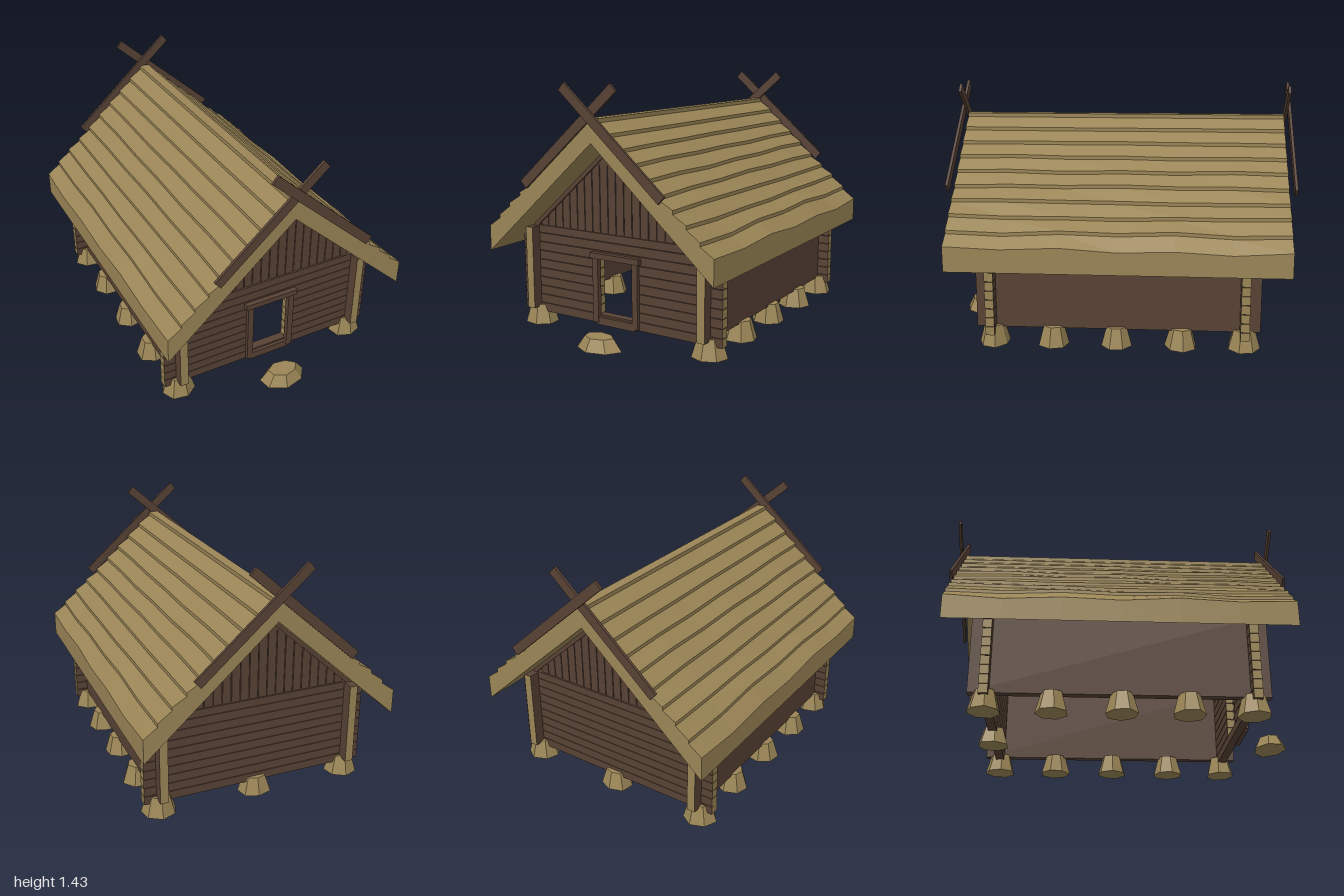
import * as THREE from 'three';

const brown = new THREE.MeshStandardMaterial({ color: 0x584235, flatShading: true });
brown.name = 'dark timber';
const tan = new THREE.MeshStandardMaterial({ color: 0x9a8556, flatShading: true });
tan.name = 'pale straw, stone and cut wood';
const endsX = [tan, tan, brown, brown, brown, brown];
const endsZ = [brown, brown, brown, brown, tan, tan];

const SLOPE = 0.898, APEX = 1.12, EAVE_X = 0.735;
const under = x => APEX - SLOPE * Math.abs(x); // underside of the roof

// Box given by its limits
function box(parent, name, mat, x0, x1, y0, y1, z0, z1) {
  const m = new THREE.Mesh(new THREE.BoxGeometry(x1 - x0, y1 - y0, z1 - z0), mat);
  m.position.set((x0 + x1) / 2, (y0 + y1) / 2, (z0 + z1) / 2);
  m.name = name;
  parent.add(m);
}

// Roof cross-section at depth z, anticlockwise, with wavy thatch courses
function roofProfile(z) {
  const n = 9, x0 = EAVE_X, x1 = 0.03, right = [];
  for (let k = 0; k <= n; k++) {
    const x = x0 + (x1 - x0) * k / n;
    const y = 0.595 + 0.64 * k / n;
    const wave = (1 - k / n) * (0.008 * Math.cos(z * 9.92 + k * 0.6 + Math.PI) + 0.006 * Math.sin(z * 3 + k * 2));
    if (k > 0) right.push([x, y - 0.01 + wave]);
    right.push([x, y + (k > 0 ? 0.01 : 0) + wave]);
  }
  const left = right.map(([x, y]) => [-x, y]).reverse();
  return [[0, APEX], [EAVE_X, 0.46], ...right, ...left, [-EAVE_X, 0.46]];
}

function roofGeometry(zBack, zFront) {
  const pos = [], steps = 6;
  const loops = [];
  for (let i = 0; i <= steps; i++) {
    const z = zBack + (zFront - zBack) * i / steps;
    loops.push(roofProfile(z).map(([x, y]) => [x, y, z]));
  }
  const tri = (a, b, c) => pos.push(...a, ...b, ...c);
  for (let i = 0; i < steps; i++) {
    const A = loops[i], B = loops[i + 1];
    for (let j = 0; j < A.length; j++) {
      const k = (j + 1) % A.length;
      tri(A[j], A[k], B[k]);
      tri(A[j], B[k], B[j]);
    }
  }
  const cap = (L, flip) => {
    const pts = L.map(p => new THREE.Vector2(p[0], p[1]));
    for (const [a, b, c] of THREE.ShapeUtils.triangulateShape(pts, [])) {
      if (flip) tri(L[a], L[c], L[b]); else tri(L[a], L[b], L[c]);
    }
  };
  cap(loops[0], true);
  cap(loops[steps], false);
  const g = new THREE.BufferGeometry();
  g.setAttribute('position', new THREE.Float32BufferAttribute(pos, 3));
  g.computeVertexNormals();
  return g;
}

let seed = 7;
const rnd = () => (seed = (seed * 16807) % 2147483647) / 2147483647;

// Rough seven-sided stone, wider at the foot
function stone(parent, name, x, z, rx, rz, h, topScale) {
  const g = new THREE.CylinderGeometry(1, 1, 1, 7, 2);
  const p = g.attributes.position;
  const jitter = Array.from({ length: 7 }, () => 0.93 + 0.12 * rnd());
  const turn = rnd() * 6;
  for (let i = 0; i < p.count; i++) {
    const px = p.getX(i), py = p.getY(i), pz = p.getZ(i);
    const a = Math.atan2(pz, px);
    const corner = Math.floor((Math.round((a / (Math.PI * 2) + 1) * 28) % 28) / 4);
    const level = py < -0.1 ? 1 : py < 0.1 ? 0.5 + topScale * 0.5 : topScale;
    const r = Math.hypot(px, pz) * jitter[corner] * level;
    p.setXYZ(i, Math.cos(a + turn) * r * rx, py * h, Math.sin(a + turn) * r * rz);
  }
  const m = new THREE.Mesh(g, tan);
  m.name = name;
  m.position.set(x, h / 2, z);
  parent.add(m);
}

// Gable wall: stacked logs, upright planks with gaps, peak and rafters
function gableWall(name, z, hasDoor) {
  const wall = new THREE.Group();
  wall.name = name;
  const t = 0.025, pitch = 0.0527;
  for (let i = 0; i < 10; i++) {
    const y0 = 0.072 + pitch * i, y1 = y0 + (i === 9 ? 0.044 : 0.0495);
    if (hasDoor && i >= 1 && i <= 6) {
      box(wall, 'wallLog', endsX, -0.67, -0.12, y0, y1, z - t, z + t);
      box(wall, 'wallLog', endsX, 0.12, 0.67, y0, y1, z - t, z + t);
    } else {
      box(wall, 'wallLog', endsX, -0.67, 0.67, y0, y1, z - t, z + t);
    }
  }
  for (let k = -11; k <= 10; k++) {
    const x = 0.02 + 0.0535 * k, hw = 0.0245;
    const top = Math.min(0.98, under(Math.abs(x) + hw) + 0.005);
    if (top > 0.605) box(wall, 'gablePlank', brown, x - hw, x + hw, 0.585, top, z - 0.015, z + 0.015);
  }
  const s = new THREE.Shape([[-0.16, 0.975], [0.16, 0.975], [0, 1.119]].map(p => new THREE.Vector2(...p)));
  const peak = new THREE.Mesh(new THREE.ExtrudeGeometry(s, { depth: 0.04, bevelEnabled: false }), brown);
  peak.name = 'gablePeak';
  peak.position.z = z - 0.02;
  wall.add(peak);
  for (const side of [1, -1]) {
    const r = new THREE.Mesh(new THREE.BoxGeometry(0.9, 0.03, 0.054), brown);
    r.name = 'rafter';
    r.position.set(side * 0.335, under(0.335) - 0.01, z);
    r.rotation.z = -side * Math.atan(SLOPE);
    wall.add(r);
  }
  return wall;
}

export function createModel() {
  const model = new THREE.Group();
  model.name = 'logStorehouse';

  // Walls
  model.add(gableWall('frontWall', 0.708, true), gableWall('backWall', -0.716, false));
  for (const s of [1, -1]) {
    box(model, 'sideWall', endsZ, s * 0.575 - 0.024, s * 0.575 + 0.024, 0.1, 0.585, -0.807, 0.795);
  }

  // Door frame
  const door = new THREE.Group();
  door.name = 'doorFrame';
  for (const s of [1, -1]) {
    box(door, 'doorJamb', brown, s * 0.133 - 0.018, s * 0.133 + 0.018, 0.08, 0.452, 0.725, 0.755);
  }
  box(door, 'doorLintel', brown, -0.165, 0.165, 0.45, 0.482, 0.725, 0.762);
  box(door, 'doorThreshold', brown, -0.13, 0.13, 0.068, 0.112, 0.725, 0.752);
  model.add(door);

  // Thatched roof with ridge cap
  const roof = new THREE.Mesh(roofGeometry(-0.957, 0.943), tan);
  roof.name = 'thatchedRoof';
  model.add(roof);
  box(model, 'ridgeCap', tan, -0.03, 0.03, 1.225, 1.248, -0.957, 0.943);

  // Crossed boards at both gable ends
  for (const [z, s] of [[0.952, 1], [0.975, -1], [-0.969, 1], [-0.991, -1]]) {
    const b = new THREE.Mesh(new THREE.BoxGeometry(0.82, 0.053, 0.016), brown);
    b.name = 'crossedGableBoard';
    b.position.set(-s * 0.15, 1.14, z);
    b.rotation.z = s * 0.725;
    model.add(b);
  }

  // Foundation stones and doorstep
  for (const z of [0.7, 0.358, 0, -0.365, -0.715]) {
    for (const s of [1, -1]) stone(model, 'foundationStone', s * 0.575, z, 0.1, 0.091, 0.112, 0.66);
  }
  stone(model, 'backFoundationStone', 0, -0.715, 0.1, 0.091, 0.1, 0.66);
  stone(model, 'doorstepStone', 0, 0.903, 0.14, 0.095, 0.068, 0.64);

  return model;
}
